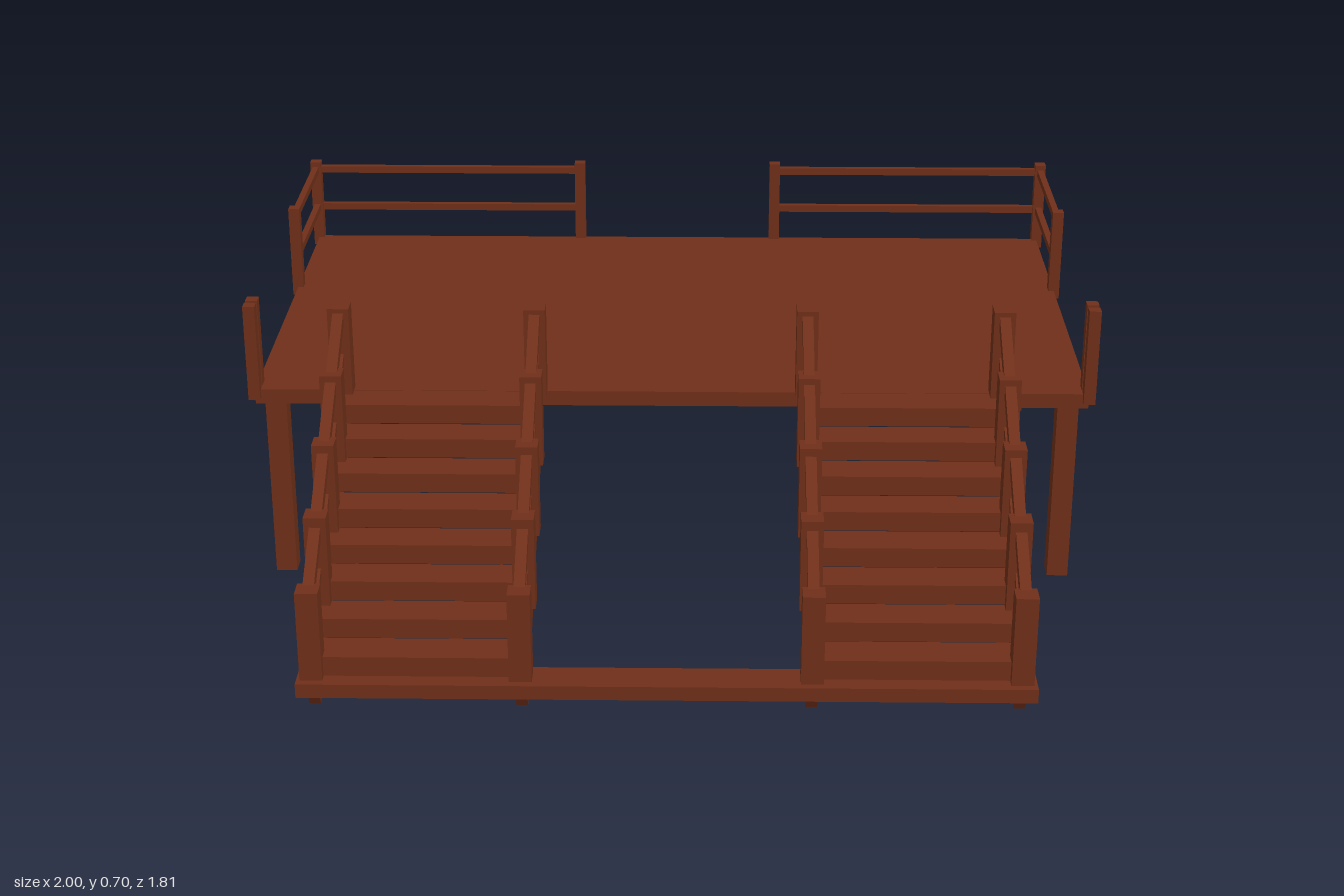
import * as THREE from 'three';

export function createModel() {
  const model = new THREE.Group();
  model.name = 'raisedDeck';
  const wood = new THREE.MeshStandardMaterial({ color: 0x6f2f19 });
  wood.name = 'brownWood';
  const darkWood = new THREE.MeshStandardMaterial({ color: 0x120403 });
  darkWood.name = 'darkUnderside';
  // Box faces in the order +x, -x, +y, -y, +z, -z
  const boards = [wood, wood, wood, darkWood, wood, wood];

  // Box given by its min/max on each axis
  function box(name, parent, [x0, x1], [y0, y1], [z0, z1], material = wood) {
    const mesh = new THREE.Mesh(new THREE.BoxGeometry(x1 - x0, y1 - y0, z1 - z0), material);
    mesh.name = name;
    mesh.position.set((x0 + x1) / 2, (y0 + y1) / 2, (z0 + z1) / 2);
    parent.add(mesh);
  }
  // Square post centred on x, z
  const post = (name, parent, x, z, size, y0, y1) =>
    box(name, parent, [x - size / 2, x + size / 2], [y0, y1], [z - size / 2, z + size / 2]);
  // Sloping beam in the yz plane between two [z, y] points
  function beam(name, parent, x, [z0, y0], [z1, y1], width, height) {
    const length = Math.hypot(z1 - z0, y1 - y0);
    const mesh = new THREE.Mesh(new THREE.BoxGeometry(width, height, length), wood);
    mesh.name = name;
    mesh.position.set(x, (y0 + y1) / 2, (z0 + z1) / 2);
    mesh.rotation.x = Math.atan2(y1 - y0, z0 - z1);
    parent.add(mesh);
  }

  // Platform and ground plank joining the stairs
  box('platform', model, [-0.985, 0.985], [0.45, 0.486], [-0.89, 0.2], boards);
  box('groundPlank', model, [-0.808, 0.808], [0.055, 0.088], [0.818, 0.903], boards);

  for (const side of [-1, 1]) {
    // Legs
    for (const z of [-0.85, 0.16]) post('leg', model, side * 0.94, z, 0.05, 0, 0.45);

    // Platform railing
    const railing = new THREE.Group();
    railing.name = 'platformRailing';
    model.add(railing);
    for (const [x, z] of [[0.985, -0.891], [0.265, -0.891], [0.985, -0.5], [0.985, 0.16], [0.985, 0.2]])
      post('railingPost', railing, side * x, z, 0.028, 0.465, 0.7);
    for (const y of [0.572, 0.678]) {
      const span = [y - 0.009, y + 0.009];
      box('backRail', railing, side > 0 ? [0.265, 0.985] : [-0.985, -0.265], span, [-0.9, -0.884]);
      const rx = [side * 0.985 - 0.008, side * 0.985 + 0.008];
      box('sideRail', railing, rx, span, [-0.89, -0.5]);
      box('shortRail', railing, rx, span, [0.16, 0.2]);
    }

    // Staircase
    const stairs = new THREE.Group();
    stairs.name = 'staircase';
    model.add(stairs);
    const ends = [side * 0.318, side * 0.775].sort((a, b) => a - b);
    for (let i = 0; i < 8; i++) {
      const front = 0.287 + 0.0825 * i, top = 0.485 - 0.05 * i;
      box('tread', stairs, ends, [top - 0.046, top], [front - 0.088, front]);
    }
    for (const x of ends) {
      beam('stringer', stairs, x, [0.861, 0.033], [0.207, 0.426], 0.026, 0.056);
      beam('handrail', stairs, x, [0.86, 0.275], [0.2, 0.69], 0.025, 0.025);
      beam('lowerRail', stairs, x, [0.86, 0.18], [0.2, 0.593], 0.018, 0.018);
      for (let i = 0; i < 5; i++) {
        const top = 0.7 - 0.1 * i;
        post('stairPost', stairs, x, 0.2 + 0.165 * i, 0.05, top - 0.22, top);
      }
    }
  }
  return model;
}
